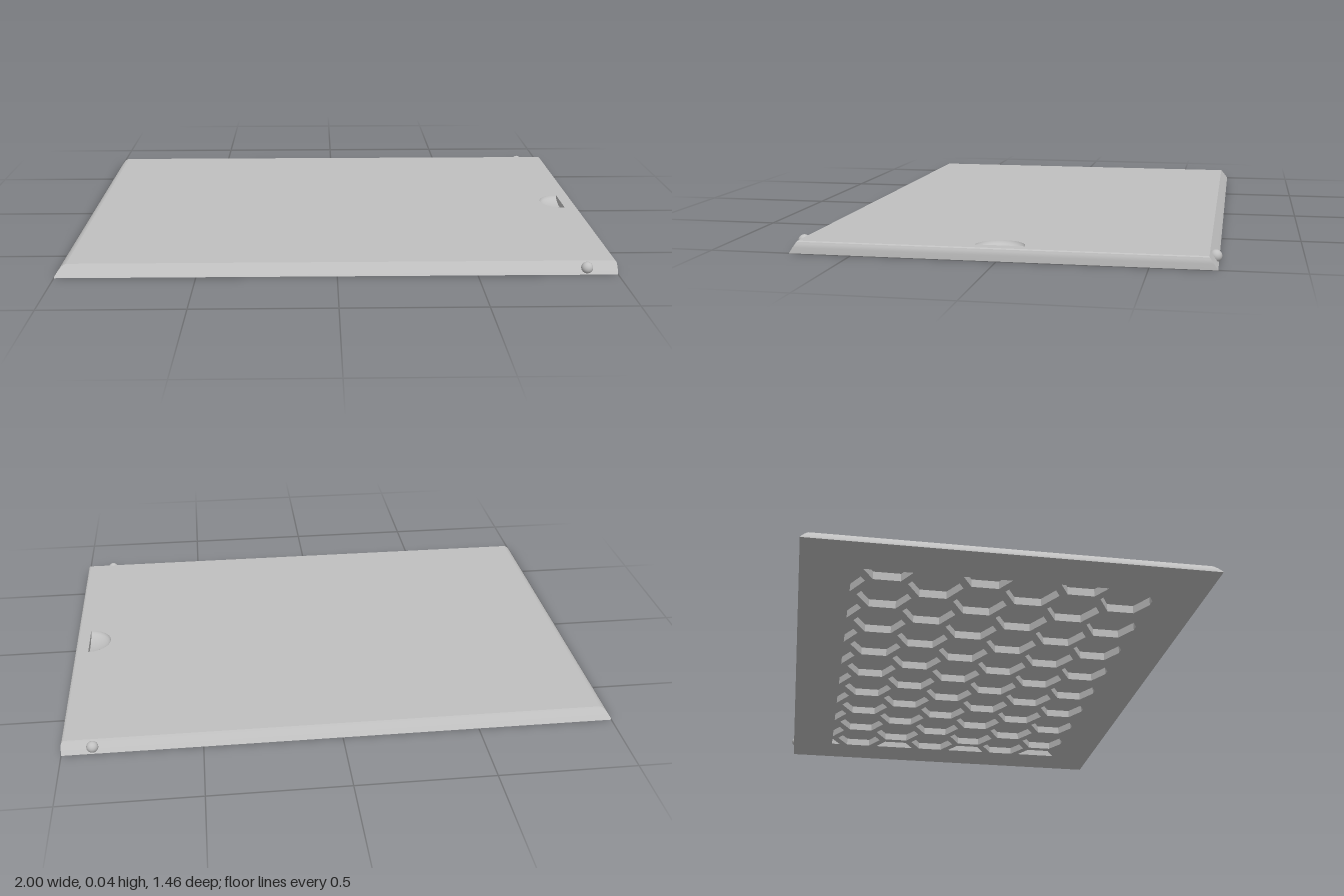
import * as THREE from 'three';
import { toCreasedNormals } from 'three/addons/utils/BufferGeometryUtils.js';

const TOP = 0.043, POCKET = 0.03;
const FIELD_X = 0.83, FIELD_Z = 0.54;
const NOTCH_X = 0.947, NOTCH_R = 0.085, NOTCH_DEPTH = 0.028;

// Levels of the rim: height, left end x, right end x, half width
const LEVELS = [
  [0, -1, 1, 0.719], [0.005, -0.999, 1, 0.716], [0.02, -0.989, 1, 0.706],
  [0.034, -0.977, 0.999, 0.696], [0.04, -0.969, 0.996, 0.692], [TOP, -0.96, 0.99, 0.69],
];

const rectPoints = (x0, x1, h) => [[x0, -h], [x1, -h], [x1, h], [x0, h]].map(p => new THREE.Vector2(...p));

// Keep the part of a convex polygon where sign * p[axis] <= limit
function clip(points, axis, sign, limit) {
  const out = [];
  points.forEach((a, i) => {
    const b = points[(i + 1) % points.length];
    const da = limit - sign * a[axis], db = limit - sign * b[axis];
    if (da >= 0) out.push(a);
    if (da * db < 0) out.push(a.clone().lerp(b, da / (da - db)));
  });
  return out;
}

// Staggered hexagons, trimmed to the rectangular field
function hexHoles() {
  const holes = [], pitch = 0.2, radius = 0.098;
  for (let row = -1; row < 7; row++) {
    for (let col = -1; col < 10; col++) {
      const cx = 0.65 - pitch * col + (row % 2 ? 0.1 : 0);
      const cz = 0.45 - pitch * 0.866 * row;
      let pts = [];
      for (let i = 0; i < 6; i++) {
        const a = Math.PI / 6 + i * Math.PI / 3;
        pts.push(new THREE.Vector2(cx + radius * Math.cos(a), cz + radius * Math.sin(a)));
      }
      for (const s of [1, -1]) pts = clip(clip(pts, 'x', s, FIELD_X), 'y', s, FIELD_Z);
      if (pts.length > 2 && Math.abs(THREE.ShapeUtils.area(pts)) > 0.0005) holes.push(new THREE.Path(pts));
    }
  }
  return holes;
}

// Sloping rim lofted through the levels
function rimGeometry() {
  const pos = [], index = [];
  LEVELS.forEach(([y, x0, x1, h], k) => {
    rectPoints(x0, x1, h).forEach((p, i) => {
      pos.push(p.x, y, p.y);
      if (k === LEVELS.length - 1) return;
      const a = k * 4 + i, b = k * 4 + (i + 1) % 4;
      index.push(a, a + 4, b, b, a + 4, b + 4);
    });
  });
  const g = new THREE.BufferGeometry();
  g.setAttribute('position', new THREE.Float32BufferAttribute(pos, 3));
  g.setIndex(index);
  return toCreasedNormals(g, 0.6);
}

export function createModel() {
  const group = new THREE.Group();
  const grey = new THREE.MeshStandardMaterial({ color: 0xc0c0c0, side: THREE.DoubleSide });
  grey.name = 'lightGrey';
  const add = (name, geometry, x = 0, y = 0, z = 0) => {
    const mesh = new THREE.Mesh(geometry, grey);
    mesh.name = name;
    mesh.position.set(x, y, z);
    group.add(mesh);
    return mesh;
  };

  add('rim', rimGeometry());

  // Top face with the thumb notch opening
  const [, tx0, tx1, th] = LEVELS[LEVELS.length - 1];
  const top = new THREE.Shape(rectPoints(tx0, tx1, th));
  const opening = new THREE.Path();
  opening.absarc(NOTCH_X, 0, NOTCH_R, Math.PI / 2, Math.PI * 1.5);
  top.holes.push(opening);
  add('topFace', new THREE.ShapeGeometry(top, 24).rotateX(-Math.PI / 2), 0, TOP);

  // Thumb notch: half bowl closed by an upright wall
  const profile = [], wall = new THREE.Shape();
  for (let i = 0; i <= 8; i++) {
    const a = i / 8 * Math.PI / 2;
    profile.push(new THREE.Vector2(NOTCH_R * Math.sin(a), -NOTCH_DEPTH * Math.cos(a)));
  }
  wall.absellipse(0, 0, NOTCH_R, NOTCH_DEPTH, Math.PI, Math.PI * 2);
  add('notchBowl', new THREE.LatheGeometry(profile, 24, Math.PI, Math.PI), NOTCH_X, TOP);
  add('notchWall', new THREE.ShapeGeometry(wall, 16).rotateY(-Math.PI / 2), NOTCH_X, TOP);

  // Underside: plain border, honeycomb plate and pocket floor
  const border = new THREE.Shape(rectPoints(-1, 1, LEVELS[0][3]));
  border.holes.push(new THREE.Path(rectPoints(-0.85, 0.85, 0.56)));
  add('undersideBorder', new THREE.ShapeGeometry(border).rotateX(Math.PI / 2));

  const comb = new THREE.Shape(rectPoints(-0.85, 0.85, 0.56));
  comb.holes.push(...hexHoles());
  const combGeometry = new THREE.ExtrudeGeometry(comb, { depth: POCKET, bevelEnabled: false });
  add('honeycomb', combGeometry.rotateX(Math.PI / 2), 0, POCKET);
  add('pocketFloor', new THREE.PlaneGeometry(1.7, 1.12).rotateX(Math.PI / 2), 0, POCKET);

  // Snap bumps on both long sides
  for (const s of [1, -1]) {
    add(s > 0 ? 'frontBump' : 'backBump', new THREE.SphereGeometry(0.021, 24, 16), 0.89, 0.023, s * 0.708);
  }
  return group;
}
